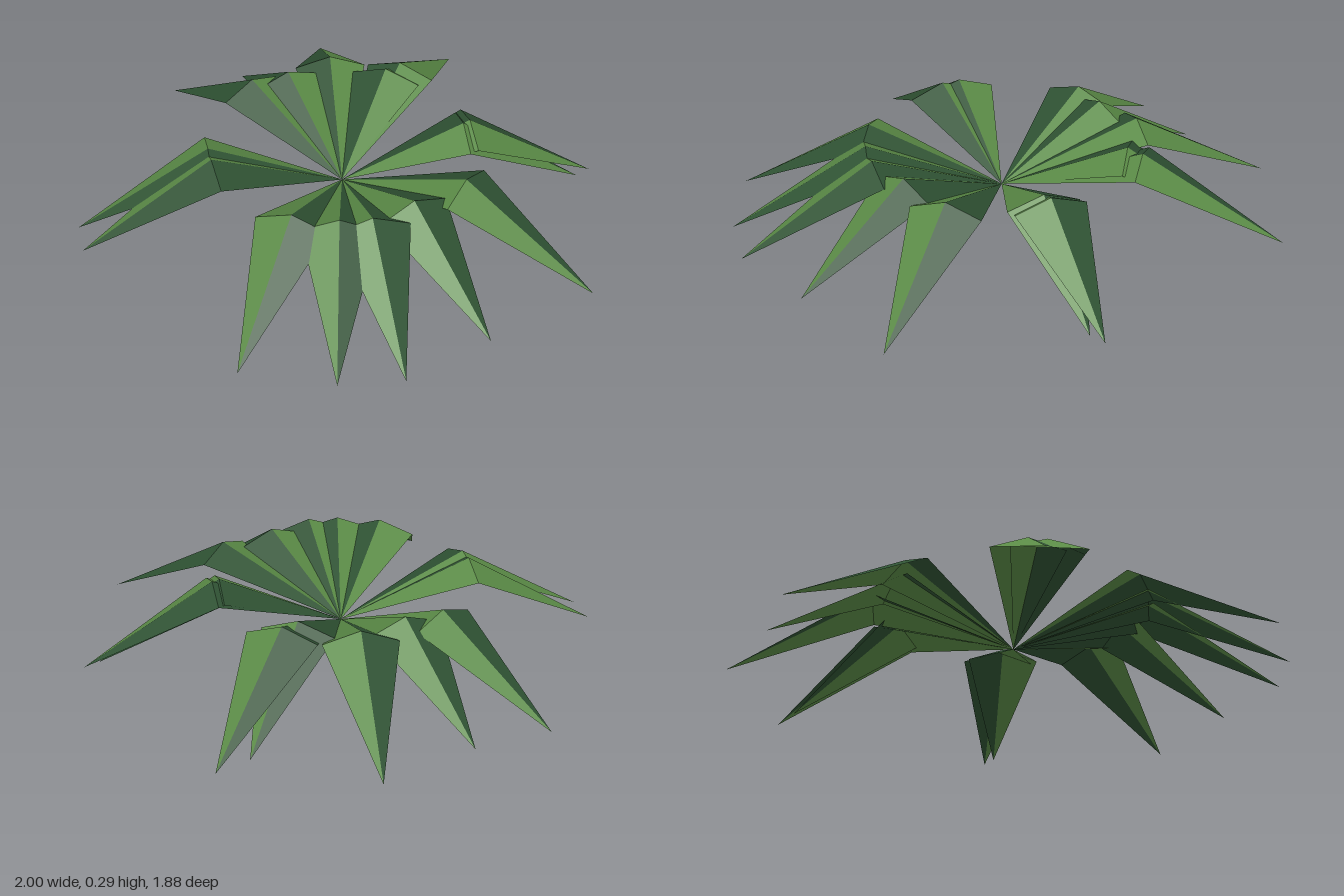
import * as THREE from 'three';

// Leaf tips on the ground as [x, z]
const TIPS = [
  [-0.39, -0.945], [-0.405, -0.805], [-0.825, -0.61], [-0.89, -0.23], [-1, 0.04],
  [-0.54, 0.86], [-0.42, 0.93], [0.45, 0.94], [0.72, 0.74], [0.86, 0.56],
  [0.92, 0.215], [1, -0.225], [0.515, -0.775], [0.51, -0.71],
];
const CENTRE = new THREE.Vector3(0, 0.09, 0.04);
const HALF_WIDTH = 0.135;
const RIDGE_Y = 0.295;
const SIDE_Y = 0.25;

// One half of a folded leaf pointing along +z: an inner and an outer triangle
function halfLeaf(length, side) {
  const root = [0, 0, 0];
  const ridge = [0, RIDGE_Y - CENTRE.y, length / 2];
  const edge = [side * HALF_WIDTH, SIDE_Y - CENTRE.y, length / 2];
  const tip = [0, -CENTRE.y, length];
  const corners = side > 0
    ? [root, ridge, edge, ridge, tip, edge]
    : [root, edge, ridge, ridge, edge, tip];
  const geometry = new THREE.BufferGeometry();
  geometry.setAttribute('position', new THREE.Float32BufferAttribute(corners.flat(), 3));
  geometry.computeVertexNormals();
  return geometry;
}

export function createModel() {
  const model = new THREE.Group();
  model.name = 'leafyPlant';

  const lightGreen = new THREE.MeshStandardMaterial({ color: 0x5a8a46, side: THREE.DoubleSide, flatShading: true });
  lightGreen.name = 'light leaf green';
  const darkGreen = new THREE.MeshStandardMaterial({ color: 0x2f5233, side: THREE.DoubleSide, flatShading: true });
  darkGreen.name = 'dark leaf green';

  // Leaves radiate from one low centre, each with a dark left and light right half
  for (const [x, z] of TIPS) {
    const dx = x - CENTRE.x;
    const dz = z - CENTRE.z;
    const length = Math.hypot(dx, dz);

    const leaf = new THREE.Group();
    leaf.name = 'leaf';
    leaf.position.copy(CENTRE);
    leaf.rotation.y = Math.atan2(dx, dz);

    const left = new THREE.Mesh(halfLeaf(length, 1), darkGreen);
    left.name = 'leafLeftHalf';
    const right = new THREE.Mesh(halfLeaf(length, -1), lightGreen);
    right.name = 'leafRightHalf';
    leaf.add(left, right);
    model.add(leaf);
  }
  return model;
}
